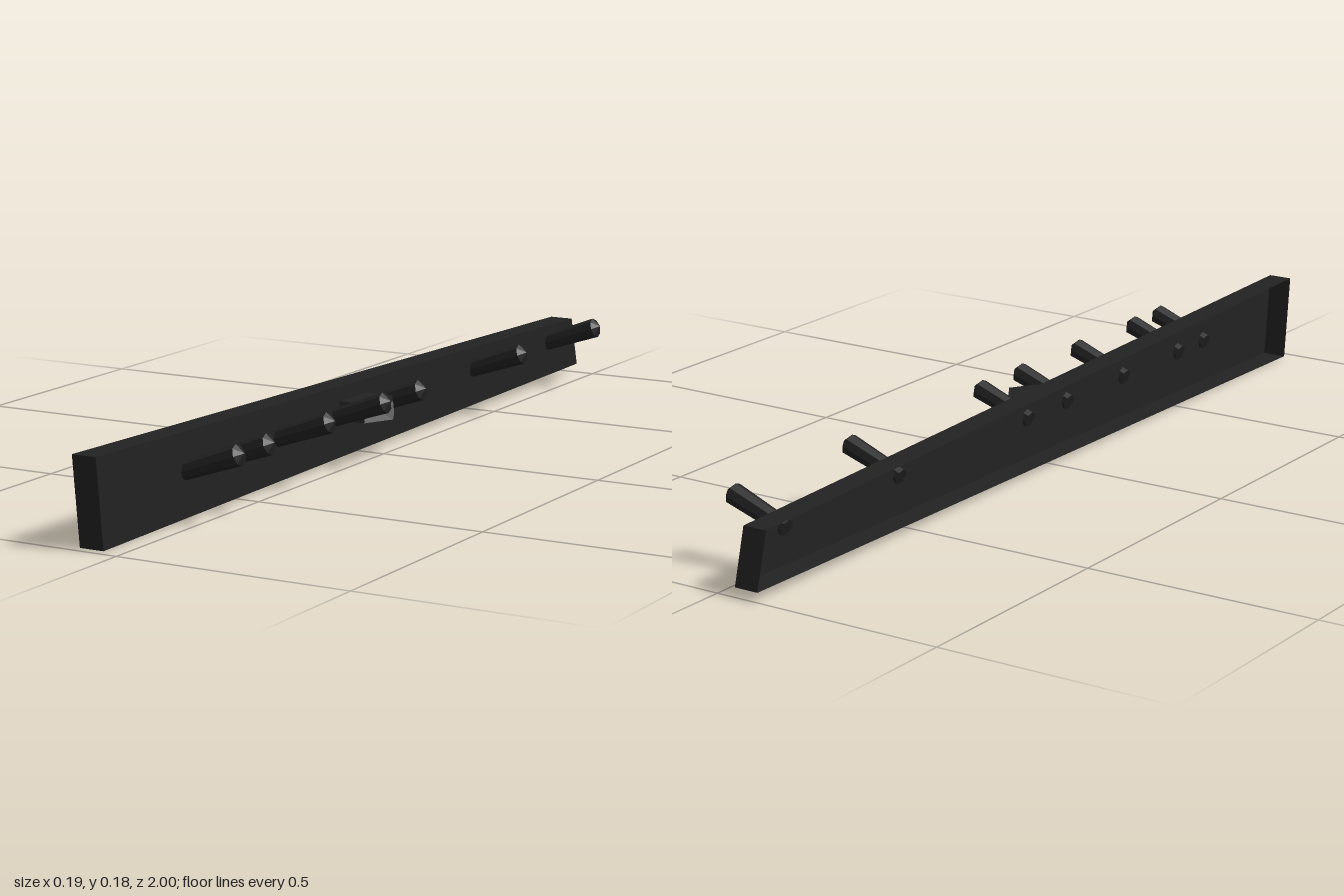
import * as THREE from 'three';

// Flat polygons (corner lists, fan-triangulated) joined into one geometry
function polygons(faces) {
  const pos = [];
  for (const f of faces)
    for (let i = 1; i < f.length - 1; i++) pos.push(...f[0], ...f[i], ...f[i + 1]);
  const g = new THREE.BufferGeometry();
  g.setAttribute('position', new THREE.Float32BufferAttribute(pos, 3));
  g.computeVertexNormals();
  return g;
}

export function createModel() {
  const group = new THREE.Group();
  const black = new THREE.MeshStandardMaterial({ color: 0x222222, flatShading: true, side: THREE.DoubleSide });
  black.name = 'black';
  const grey = new THREE.MeshStandardMaterial({ color: 0x707070, flatShading: true, side: THREE.DoubleSide });
  grey.name = 'grey';

  const add = (geometry, material, name) => {
    const mesh = new THREE.Mesh(geometry, material);
    mesh.name = name;
    group.add(mesh);
    return mesh;
  };

  // Tapered board: a thin shell, open at the back (-x)
  const frontX = -0.042, backX = -0.095;
  const outline = [[0, 0.98], [0.02, -1], [0.133, -0.97], [0.183, 1]]; // y, z
  const front = outline.map(([y, z]) => [frontX, y, z]);
  const back = outline.map(([y, z]) => [backX, y, z]);
  const boardFaces = [front];
  for (let i = 0; i < 4; i++) {
    const j = (i + 1) % 4;
    boardFaces.push([front[i], back[i], back[j], front[j]]);
  }
  add(polygons(boardFaces), black, 'board');

  // Pointed block, slightly narrower at the top, with two grey slanted faces
  const midZ = 0.057;
  const plan = [[frontX, -0.063], [0.022, -0.063], [0.055, 0], [0.022, 0.063], [frontX, 0.063]]; // x, z
  const low = plan.map(([x, z]) => [x, 0.09, midZ + z]);
  const high = plan.map(([x, z]) => [x, 0.128, midZ + z * 0.84]);
  const side = (i) => [low[i], high[i], high[i + 1], low[i + 1]];
  add(polygons([low, [...high].reverse(), side(0), side(3)]), black, 'blockBody');
  add(polygons([side(1), side(2)]), grey, 'blockFrontFaces');

  // Seven slanted pegs, wider towards a blunt conical tip
  const profile = [[0, 0], [0.018, 0], [0.022, 0.135], [0, 0.1485]].map(([r, y]) => new THREE.Vector2(r, y));
  const pegGeometry = new THREE.LatheGeometry(profile, 8);
  for (const z of [-0.85, -0.48, -0.02, 0.13, 0.355, 0.585, 0.695]) {
    const peg = add(pegGeometry, black, 'peg');
    peg.position.set(-0.049, 0.095, z);
    peg.rotation.z = THREE.MathUtils.degToRad(-70);
  }
  return group;
}
